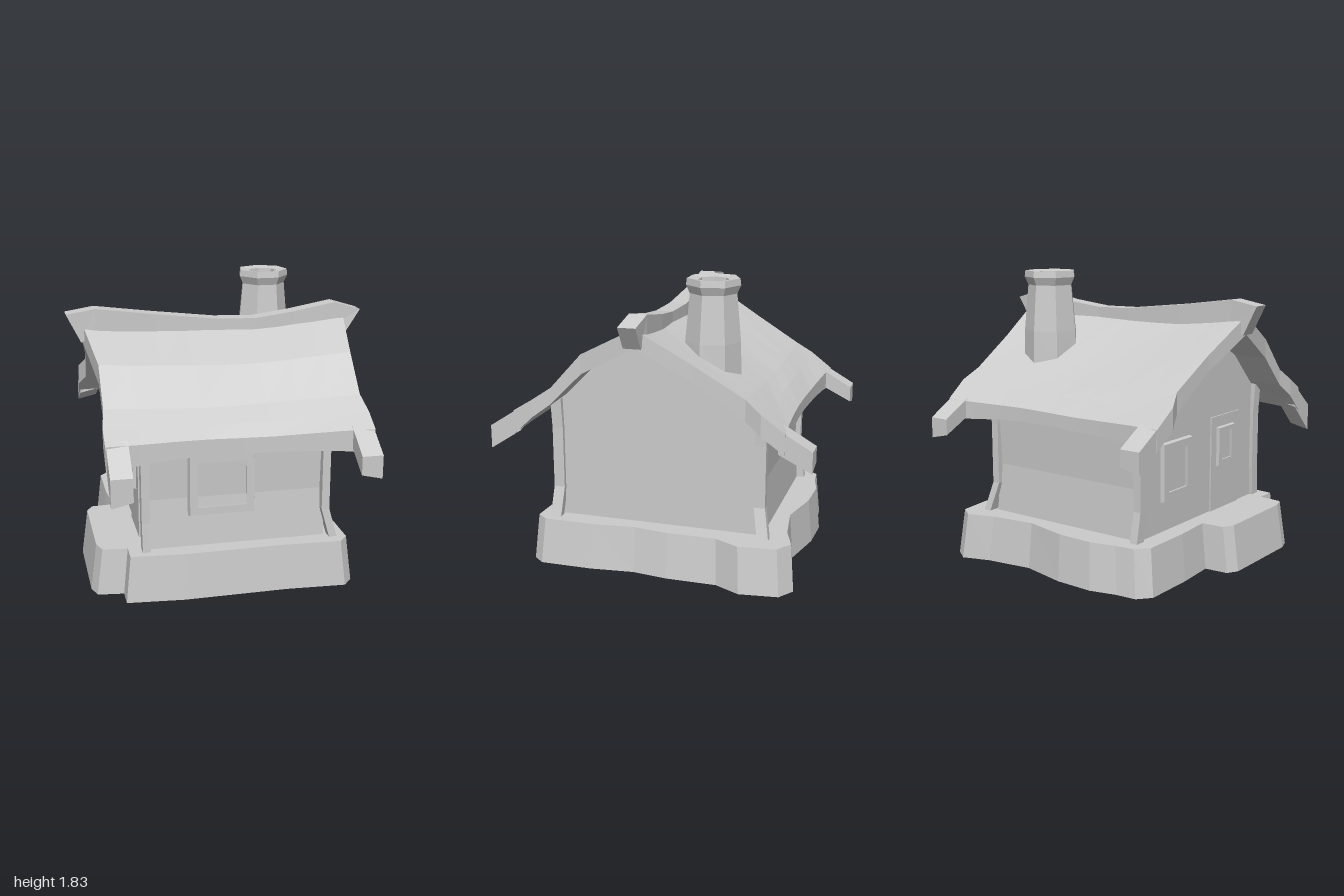
import * as THREE from 'three';

const material = new THREE.MeshStandardMaterial({ color: 0xcccccc, flatShading: true, side: THREE.DoubleSide });

function part(name, geometry, parent) {
  geometry.computeVertexNormals();
  const mesh = new THREE.Mesh(geometry, material);
  mesh.name = name;
  parent.add(mesh);
  return mesh;
}

// Move every vertex of a geometry by a rule
function bend(geometry, rule) {
  const p = geometry.attributes.position;
  const v = new THREE.Vector3();
  for (let i = 0; i < p.count; i++) {
    rule(v.fromBufferAttribute(p, i));
    p.setXYZ(i, v.x, v.y, v.z);
  }
  return geometry;
}

const shapeOf = (points) => new THREE.Shape(points.map(([x, y]) => new THREE.Vector2(x, y)));
const extrude = (shape, depth) => new THREE.ExtrudeGeometry(shape, { depth, bevelEnabled: false });

// Rectangular frame with a sloped lip, facing +z
function frame(w, h, border, depth) {
  const rect = (a, b) => [[-a, -b], [a, -b], [a, b], [-a, b]];
  const shape = shapeOf(rect(w / 2, h / 2));
  shape.holes.push(shapeOf(rect(w / 2 - border, h / 2 - border)));
  return bend(extrude(shape, depth), (v) => {
    if (v.z > depth / 2) { v.x *= 0.95; v.y *= 0.95; }
  });
}

// Roof sections from back to front: z, top, underside, half width, sag of the top
const roofSections = [
  [-0.80, 1.05, 0.92, 0.81, 0.03], [-0.70, 1.13, 1.0, 0.82, 0.03], [-0.60, 1.2, 1.07, 0.78, 0.03],
  [-0.30, 1.38, 1.28, 0.80, 0.04], [0.045, 1.585, 1.47, 0.85, 0.05], [0.40, 1.40, 1.28, 0.79, 0.04],
  [0.60, 1.18, 1.08, 0.79, 0.025], [0.72, 1.10, 0.99, 0.81, 0.025], [0.80, 1.05, 0.90, 0.81, 0.035],
];

function roofGeometry() {
  const n = roofSections.length - 1;
  return bend(new THREE.BoxGeometry(2, 1, 1, 8, 1, n), (v) => {
    const i = Math.round((v.z + 0.5) * n);
    const [z, top, under, half, sag] = roofSections[i];
    const u = v.x;
    const eave = i === 0 || i === n;
    const overhang = eave ? 0.04 * u * u : 0;
    v.y = v.y > 0 ? top - sag * (1 - u * u) : under + (eave ? 0.02 * (1 - u * u) : 0);
    v.y += 0.005 * Math.sin(5 * u + 2 * i) * (1 - u * u) - 0.6 * overhang;
    v.x = u * half;
    v.z = z + Math.sign(z) * overhang;
  });
}

// Ridge stations: x, top height
const ridge = [[-0.95, 1.65], [-0.77, 1.68], [-0.4, 1.63], [0, 1.585], [0.25, 1.58], [0.5, 1.61], [0.78, 1.66], [0.95, 1.61]];

function ridgeGeometry() {
  const n = ridge.length - 1;
  return bend(new THREE.BoxGeometry(1, 1, 0.11, n, 1, 1), (v) => {
    const i = Math.round((v.x + 0.5) * n);
    const [x, top] = ridge[i];
    const end = i === 0 || i === n;
    const under = v.y < 0;
    v.x = under && end ? Math.sign(x) * 0.86 : x;
    v.y = under ? (end ? 1.47 : top - 0.15) : top;
    v.z += 0.045 + 0.008 * Math.sin(i * 2);
  });
}

export function createModel() {
  const house = new THREE.Group();
  house.name = 'cottage';

  // Stone base with doorstep and a bulging back corner, tapering upwards
  const outline = [
    [-0.70, 0.76], [-0.35, 0.79], [0.3, 0.78], [0.67, 0.80], [0.73, 0.73], [0.73, 0.4], [0.70, 0.12],
    [0.73, -0.1], [0.73, -0.42], [0.81, -0.58], [0.78, -0.82], [0.68, -0.89], [0.5, -0.83], [0.2, -0.79],
    [-0.1, -0.86], [-0.35, -0.87], [-0.52, -0.83], [-0.65, -0.82], [-0.72, -0.74], [-0.72, -0.4], [-0.70, -0.14],
    [-0.85, -0.13], [-0.89, -0.06], [-0.89, 0.52], [-0.86, 0.61], [-0.70, 0.63],
  ];
  const base = extrude(shapeOf(outline.map(([x, z]) => [x, -z])), 0.29).rotateX(-Math.PI / 2);
  part('base', bend(base, (v) => {
    if (v.y > 0.1) { v.x *= 0.955; v.z *= 0.97; }
  }), house);

  // Walls with both gables, following the underside of the roof
  const gable = [
    [-0.67, 0.27], [0.65, 0.27], [0.63, 0.6], [0.65, 1.06], [0.57, 1.13], [0.4, 1.3],
    [0.045, 1.49], [-0.3, 1.3], [-0.6, 1.09], [-0.67, 1.04], [-0.65, 0.6],
  ];
  part('walls', extrude(shapeOf(gable), 1.13).translate(0, 0, -0.565).rotateY(-Math.PI / 2), house);

  // Corner posts, flared at the foot
  for (const sx of [-1, 1]) {
    for (const sz of [-1, 1]) {
      const post = bend(new THREE.BoxGeometry(0.05, 0.78, 0.07, 1, 4, 1), (v) => {
        const foot = v.y < -0.3 ? 1 : 0;
        const waist = Math.abs(v.y) < 0.25 ? 1 : 0;
        v.x += sx * (0.572 - 0.008 * waist) + (sx > 0 ? 0.045 : 0.01) * foot;
        v.z += sz * (0.657 + (sz < 0 ? 0.03 : 0.005) * foot - 0.006 * waist);
        v.y += 0.67;
      });
      part('cornerPost', post, house);
    }
  }

  // Sagging roof
  part('roof', roofGeometry(), house);

  // Horns continuing the roof at the four eave corners
  for (const sx of [-1, 1]) {
    for (const sz of [-1, 1]) {
      const drop = sz > 0 ? (sx < 0 ? 0.09 : 0.03) : 0;
      const horn = bend(new THREE.BoxGeometry(0.13, 1, 1), (v) => {
        const tip = v.z * sz > 0;
        const top = v.y > 0;
        const inner = v.x * sx < 0;
        v.x += sx * 0.74;
        if (top) v.y = tip ? 0.93 - drop * 0.5 : 1.045;
        else v.y = (tip ? 0.80 - drop : 0.90) + (inner ? 0.03 : 0);
        v.z = sz * (tip ? 1 : 0.8);
      });
      part('eaveHorn', horn, house);
    }
  }

  part('ridgeBeam', ridgeGeometry(), house);

  // Hollow chimney with a flared rim, its foot cut along the roof slope
  const profile = [
    [0.178, 1.2], [0.172, 1.45], [0.145, 1.74], [0.168, 1.79], [0.163, 1.83],
    [0.095, 1.82], [0.08, 1.62], [0, 1.62],
  ].map(([r, y]) => new THREE.Vector2(r, y));
  const stack = bend(new THREE.LatheGeometry(profile, 7, Math.PI / 7), (v) => {
    if (v.y < 1.3) v.y = 1.31 + 0.6 * v.z;
  });
  part('chimney', stack, house).position.set(0.4, 0, -0.305);

  // Front window
  part('frontWindowFrame', frame(0.42, 0.4, 0.05, 0.04), house).position.set(-0.09, 0.685, 0.63);

  // Entrance side: window and door with a small pane
  const entrance = new THREE.Group();
  entrance.name = 'entranceSide';
  entrance.rotation.y = -Math.PI / 2;
  house.add(entrance);
  part('sideWindowFrame', frame(0.32, 0.37, 0.05, 0.035), entrance).position.set(-0.29, 0.66, 0.555);
  part('door', new THREE.BoxGeometry(0.34, 0.64, 0.03), entrance).position.set(0.28, 0.59, 0.56);
  part('doorWindowFrame', frame(0.2, 0.26, 0.035, 0.025), entrance).position.set(0.27, 0.71, 0.57);

  return house;
}
